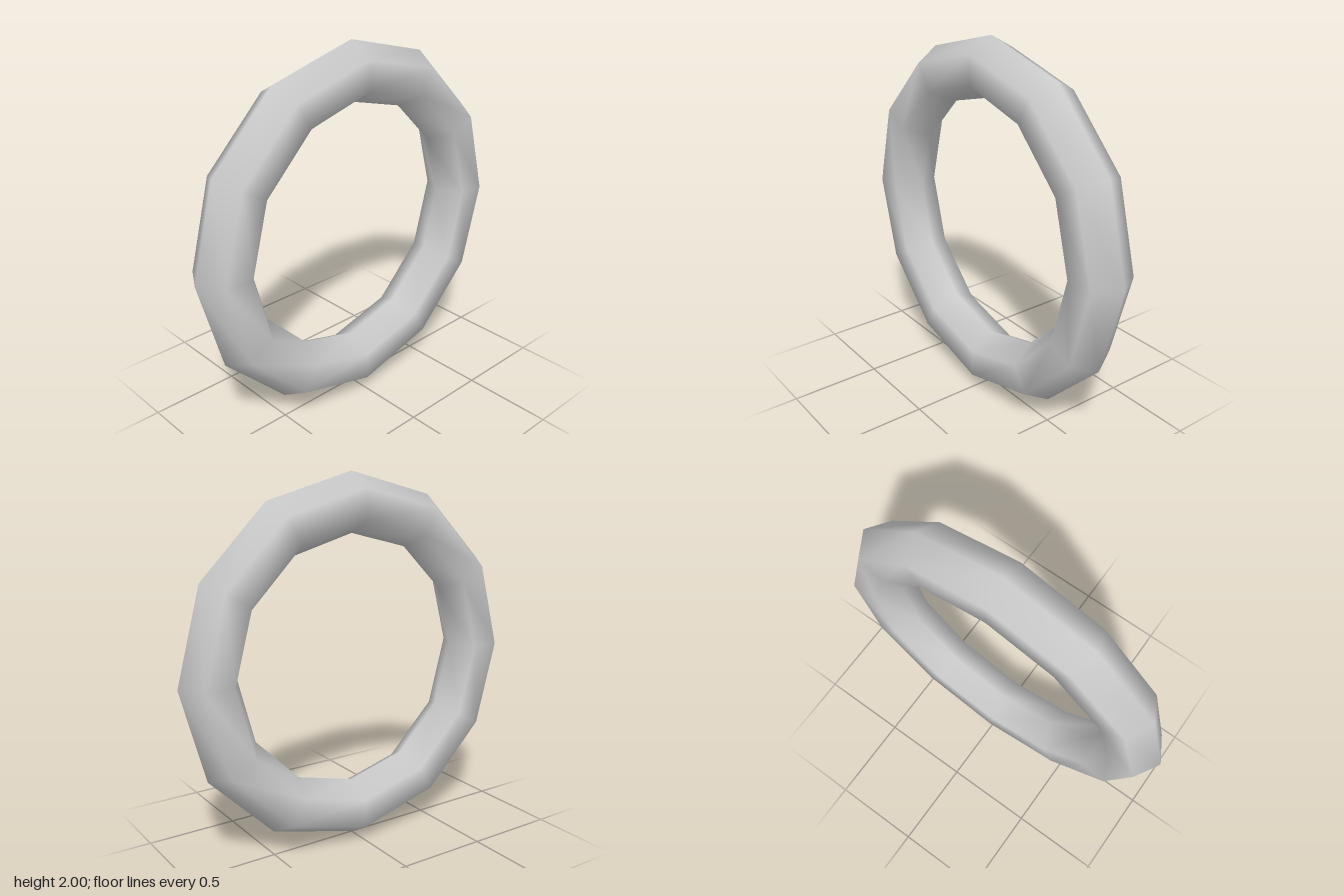
import * as THREE from 'three';

export function createModel() {
  const group = new THREE.Group();
  group.name = 'ringModel';

  // Low-poly ring: hexagonal tube swept through twelve smooth-shaded segments
  const tubeRadius = 0.158;
  const ringRadius = 1 - tubeRadius;
  const geometry = new THREE.TorusGeometry(ringRadius, tubeRadius, 6, 12);
  geometry.rotateY(Math.PI / 2); // hole faces sideways, along x
  geometry.translate(0, 1, 0);   // stands on the ground

  const ring = new THREE.Mesh(geometry, new THREE.MeshStandardMaterial({ color: 0xcccccc }));
  ring.name = 'ring';
  group.add(ring);
  return group;
}
